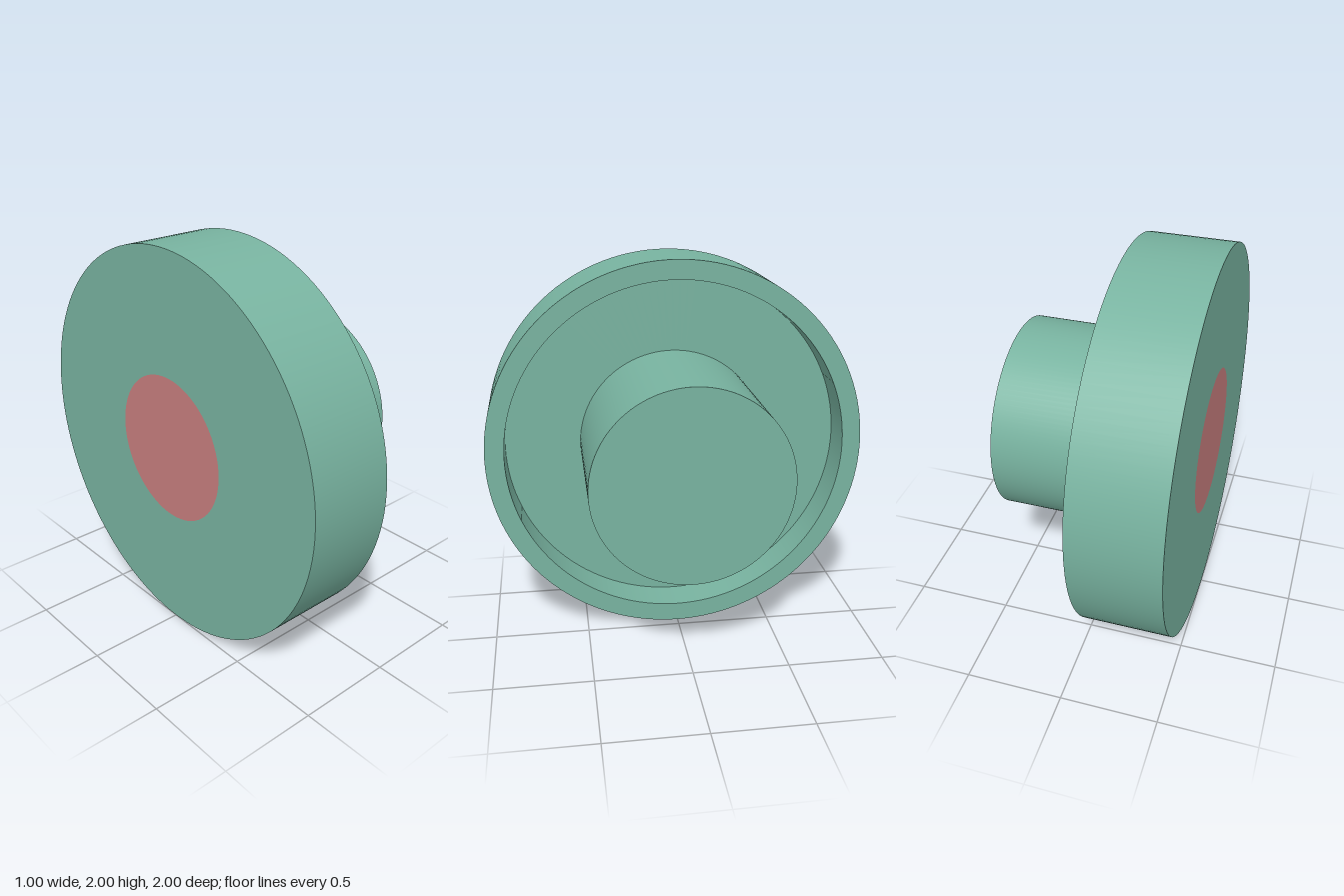
import * as THREE from 'three';
import { mergeGeometries } from 'three/addons/utils/BufferGeometryUtils.js';

const SEGMENTS = 128;

// Revolve a profile of [radius, height], one lathe per segment to keep edges sharp
function turned(name, profile, material) {
  const bands = [];
  for (let i = 0; i < profile.length - 1; i++) {
    const ends = [profile[i], profile[i + 1]].map(([r, h]) => new THREE.Vector2(r, h));
    bands.push(new THREE.LatheGeometry(ends, SEGMENTS));
  }
  const mesh = new THREE.Mesh(mergeGeometries(bands), material);
  mesh.name = name;
  return mesh;
}

export function createModel() {
  const green = new THREE.MeshStandardMaterial({ name: 'sage green', color: 0x78b3a0 });
  const red = new THREE.MeshStandardMaterial({ name: 'muted red', color: 0xc87e7e });

  const back = -0.5, rim = -0.05, floor = -0.25, tip = 0.5;
  const outerR = 1, innerR = 0.9, postR = 0.5, spotR = 0.375;

  const knob = new THREE.Group();
  knob.name = 'knob';
  knob.add(
    // Wide dish with a raised rim and recessed floor
    turned('dish', [
      [spotR, back], [outerR, back], [outerR, rim],
      [innerR, rim], [innerR, floor], [postR, floor],
    ], green),
    // Solid central post
    turned('post', [[postR, floor], [postR, tip], [0, tip]], green),
    // Round spot flush with the back face
    turned('backSpot', [[0, back], [spotR, back]], red),
  );

  // Lay the axis along x
  knob.rotation.z = -Math.PI / 2;
  knob.position.y = outerR;

  const model = new THREE.Group();
  model.name = 'model';
  model.add(knob);
  return model;
}
